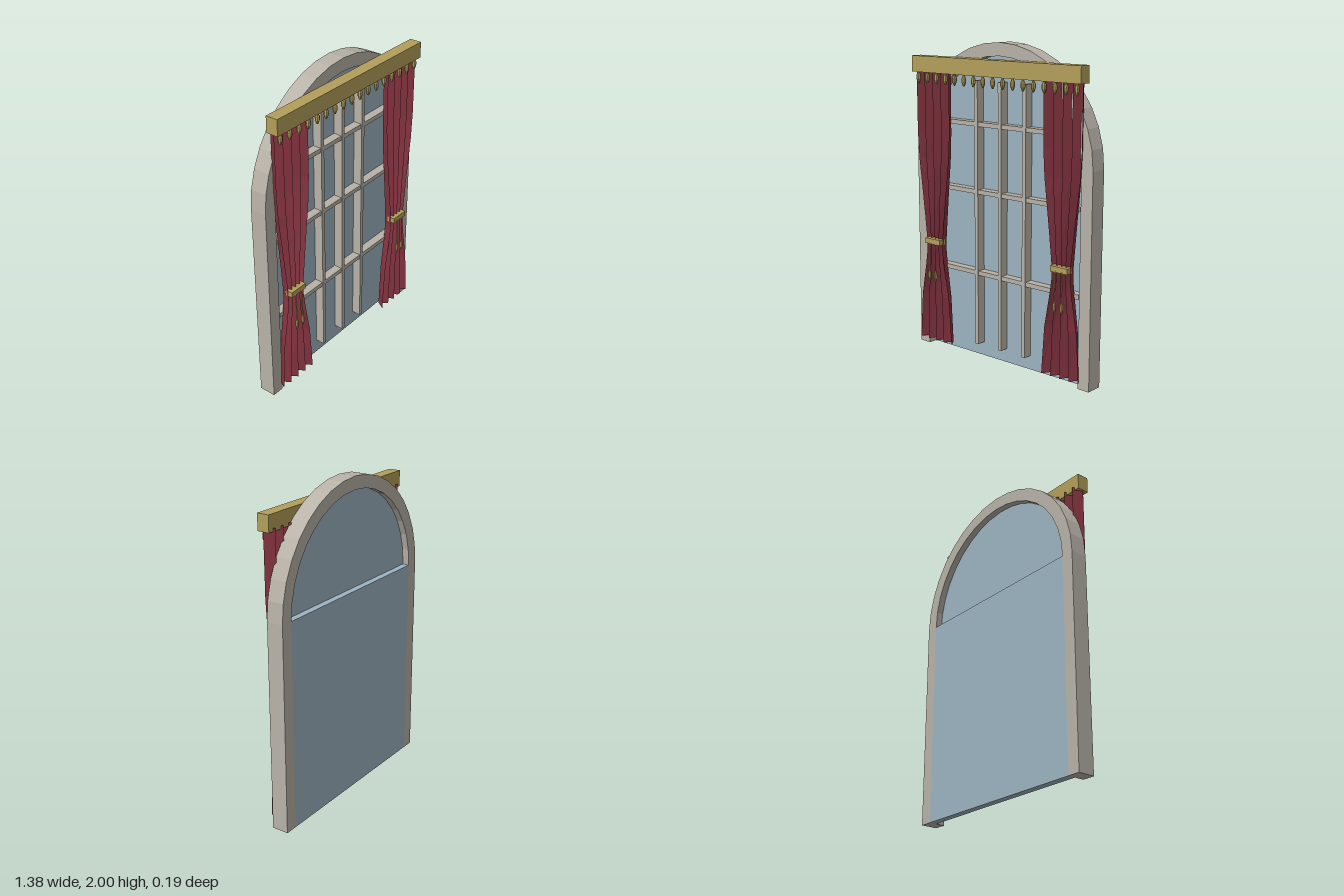
import * as THREE from 'three';

const stone = new THREE.MeshStandardMaterial({ color: 0xb8b2a8 });
stone.name = 'stone';
const glass = new THREE.MeshStandardMaterial({ color: 0x9cb3c0 });
glass.name = 'glass';
const gold = new THREE.MeshStandardMaterial({ color: 0xb39f5a, flatShading: true });
gold.name = 'gold';
const velvet = new THREE.MeshStandardMaterial({ color: 0x843340, flatShading: true, side: THREE.DoubleSide });
velvet.name = 'velvet';

const SPRING = 1.31; // height where the arch begins
const OUTER = 0.69, INNER = 0.61;
const BACK = -0.093, FRONT = 0.014, PANE = -0.046;

function add(parent, name, geometry, material, x = 0, y = 0, z = 0) {
  const mesh = new THREE.Mesh(geometry, material);
  mesh.name = name;
  mesh.position.set(x, y, z);
  parent.add(mesh);
  return mesh;
}

// Box given by its lower and upper limits
function block(parent, name, material, x0, x1, y0, y1, z0, z1) {
  return add(parent, name, new THREE.BoxGeometry(x1 - x0, y1 - y0, z1 - z0), material,
    (x0 + x1) / 2, (y0 + y1) / 2, (z0 + z1) / 2);
}

function extrude(shape, depth) {
  return new THREE.ExtrudeGeometry(shape, { depth, bevelEnabled: false, curveSegments: 9 });
}

// Round-topped outline; with an inner radius it becomes an open-bottomed frame
function archShape(radius, innerRadius) {
  const s = new THREE.Shape();
  s.moveTo(radius, 0);
  s.lineTo(radius, SPRING);
  s.absarc(0, SPRING, radius, 0, Math.PI, false);
  s.lineTo(-radius, 0);
  if (innerRadius) {
    s.lineTo(-innerRadius, 0);
    s.lineTo(-innerRadius, SPRING);
    s.absarc(0, SPRING, innerRadius, Math.PI, 0, true);
    s.lineTo(innerRadius, 0);
  }
  s.closePath();
  return s;
}

// Small pendant hanging down from its origin
function pendant(radius, height) {
  const profile = [[0, -1], [0.45, -0.95], [1, -0.62], [1, -0.3], [0.5, -0.08], [0.4, 0], [0, 0]];
  return new THREE.LatheGeometry(profile.map(([r, y]) => new THREE.Vector2(r * radius, y * height)), 8);
}

// Pleated cloth: a zigzag cross-section that narrows at the tie
function curtainGeometry() {
  const rows = [[0.05, 0.137], [0.35, 0.117], [0.56, 0.08], [0.66, 0.066], [0.74, 0.068],
    [0.9, 0.085], [1.1, 0.108], [1.25, 0.126], [1.42, 0.136], [1.82, 0.137]];
  const folds = 8;
  const positions = [], index = [];
  rows.forEach(([y, half], r) => {
    for (let i = 0; i <= folds; i++) {
      positions.push((i / folds * 2 - 1) * half, y, i % 2 ? 0.002 : 0.059);
      if (r && i) {
        const b = r * (folds + 1) + i, a = b - folds - 1;
        index.push(a - 1, a, b, a - 1, b, b - 1);
      }
    }
  });
  const g = new THREE.BufferGeometry();
  g.setAttribute('position', new THREE.Float32BufferAttribute(positions, 3));
  g.setIndex(index);
  g.computeVertexNormals();
  return g;
}

export function createModel() {
  const model = new THREE.Group();
  model.name = 'archedWindow';

  // Frame and panes
  add(model, 'frame', extrude(archShape(OUTER, INNER), FRONT - BACK), stone, 0, 0, BACK);
  add(model, 'archedPane', extrude(archShape(INNER), 0.005), glass, 0, 0, PANE - 0.005);
  block(model, 'lowerPane', glass, -INNER, INNER, 0, SPRING, BACK, PANE - 0.005);

  // Glazing bars
  for (const x of [-0.19, 0, 0.19]) {
    block(model, 'verticalBar', stone, x - 0.013, x + 0.013, 0.09, 1.765, PANE, 0.012);
  }
  for (const y of [0.56, 1.08, 1.5]) {
    block(model, 'horizontalBar', stone, -0.6, 0.6, y - 0.014, y + 0.014, PANE, 0.008);
  }

  // Pelmet with its row of pendants
  block(model, 'pelmet', gold, -0.653, 0.653, 1.8, 1.9, FRONT, 0.091);
  const bead = pendant(0.014, 0.07);
  for (let i = -8; i <= 8; i++) add(model, 'pelmetPendant', bead, gold, i * 0.0768, 1.8, 0.073);

  // Curtains with tie bands, cords and tassels
  const cloth = curtainGeometry();
  const tassel = pendant(0.011, 0.075);
  const cord = new THREE.CylinderGeometry(0.004, 0.004, 0.185, 6);
  for (const side of [-1, 1]) {
    const curtain = new THREE.Group();
    curtain.name = side > 0 ? 'leftCurtain' : 'rightCurtain';
    curtain.position.x = side * 0.508;
    model.add(curtain);
    add(curtain, 'cloth', cloth, velvet);
    block(curtain, 'tieBand', gold, -0.062, 0.062, 0.705, 0.74, 0.03, 0.08);
    for (const dx of [-0.026, 0.026]) {
      add(curtain, 'tieCord', cord, gold, dx, 0.62, 0.081).rotation.x = -0.03;
      add(curtain, 'tieTassel', tassel, gold, dx, 0.533, 0.083);
    }
  }
  return model;
}
